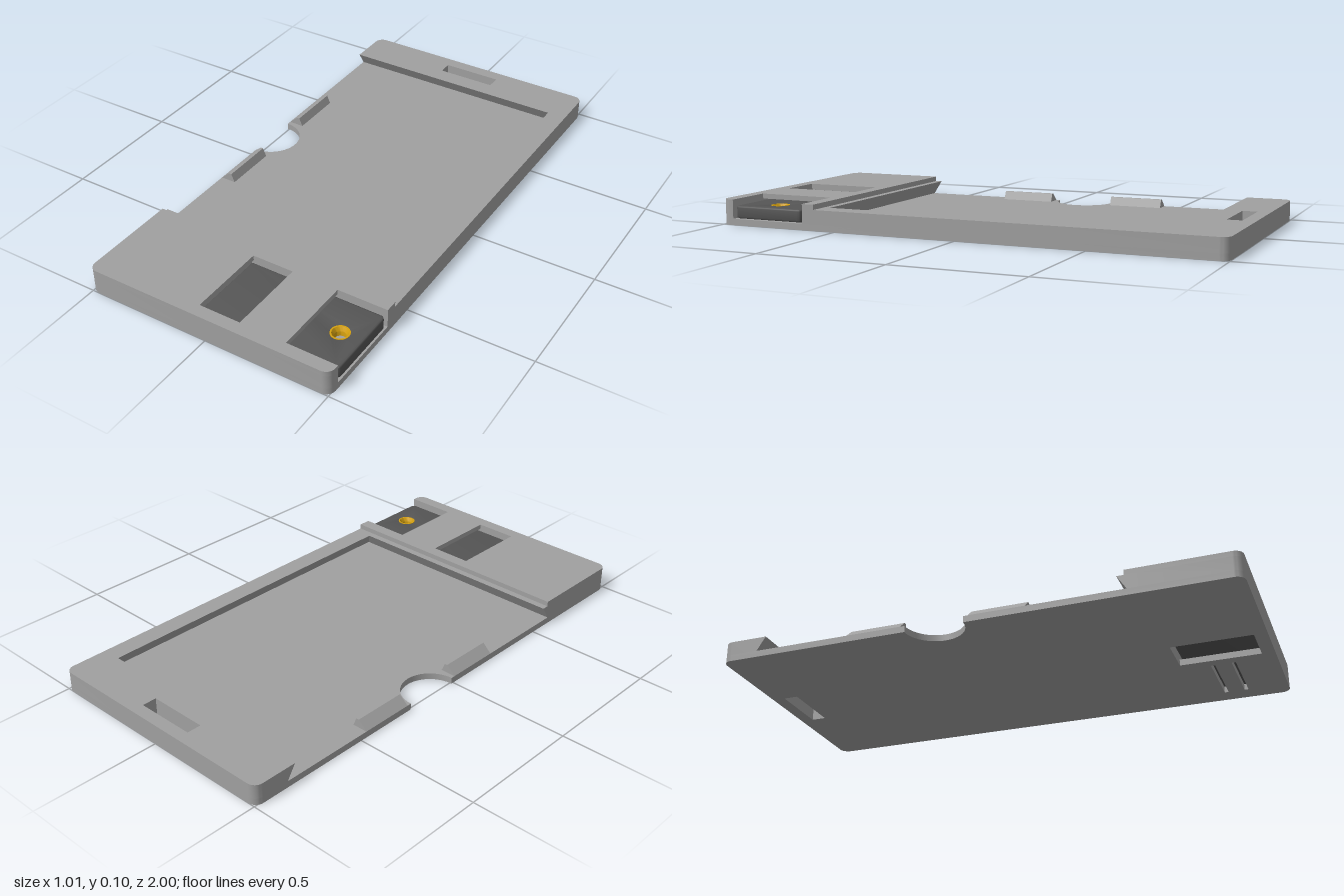
import * as THREE from 'three';
import { toCreasedNormals } from 'three/addons/utils/BufferGeometryUtils.js';

const W = 0.507, R = 0.035;        // half width, corner radius
const FLOOR = 0.025, RIM = 0.08, TOP = 0.1;
const TUN0 = 0.636, TUN1 = 0.95;   // latch channel in z

function material(name, color) {
  const m = new THREE.MeshStandardMaterial({ color });
  m.name = name;
  return m;
}

// closed path of [x, z] points
const poly = (pts, Type = THREE.Shape) => new Type(pts.map(([x, z]) => new THREE.Vector2(x, z)));
const rect = (x0, x1, z0, z1) => poly([[x0, z0], [x1, z0], [x1, z1], [x0, z1]], THREE.Path);

// points of a quarter-round corner
function corner(cx, cz, from, r = R) {
  return Array.from({ length: 9 }, (_, i) => {
    const a = from + (i / 8) * Math.PI / 2;
    return [cx + r * Math.cos(a), cz + r * Math.sin(a)];
  });
}
const H = Math.PI / 2;
const backRight = corner(W - R, -1 + R, 3 * H);
const frontRight = corner(W - R, 1 - R, 0);
const frontLeft = corner(-W + R, 1 - R, H);
const backLeft = corner(-W + R, -1 + R, 2 * H);

// plan shape in x/z raised from y0 to y1
function slab(shape, y0, y1, options = {}) {
  const g = new THREE.ExtrudeGeometry(shape, { depth: y1 - y0, bevelEnabled: false, curveSegments: 24, ...options });
  return g.rotateX(H).translate(0, y1, 0);
}

export function createModel() {
  const group = new THREE.Group();
  const grey = material('bodyGrey', 0xa0a0a0);
  const dark = material('latchDarkGrey', 0x555555);
  const brass = material('brass', 0xd4a010);

  const add = (name, geometry, mat, crease = 0.5) => {
    const mesh = new THREE.Mesh(toCreasedNormals(geometry, crease), mat);
    mesh.name = name;
    group.add(mesh);
    return mesh;
  };
  const strapSlot = () => rect(-0.12, 0.12, -0.95, -0.893);
  const window_ = () => rect(-0.052, 0.117, TUN0, TUN1);

  // floor plate with thumb notch, strap slot, latch window and two slits
  const notch = Array.from({ length: 33 }, (_, i) => {
    const a = H - (i / 32) * Math.PI;
    return [-W + 0.115 * Math.cos(a), -0.125 + 0.115 * Math.sin(a)];
  });
  const base = poly([...backRight, ...frontRight, ...frontLeft, ...notch, ...backLeft]);
  base.holes.push(strapSlot(), window_());
  for (const z of [0.755, 0.835]) base.holes.push(rect(0.16, 0.43, z - 0.008, z + 0.008));
  add('floorPlate', slab(base, 0, FLOOR), grey);

  // rim around the card pocket; its inner walls lean outward toward the floor
  const rim = poly([
    ...backRight, [W, TUN0], [-W, TUN0], [-W, 0.56], [0.43, 0.56],
    [0.43, -0.82], [-W, -0.82], ...backLeft,
  ]);
  rim.holes.push(strapSlot());
  const rimGeo = slab(rim, FLOOR, RIM);
  const p = rimGeo.attributes.position;
  const near = (a, b) => Math.abs(a - b) < 1e-4;
  for (let i = 0; i < p.count; i++) {
    if (p.getY(i) > FLOOR + 0.01) continue;
    const x = p.getX(i), z = p.getZ(i);
    if (near(x, 0.43)) p.setX(i, x + 0.035);
    if (near(z, -0.82)) p.setZ(i, z - 0.035);
    if (near(z, 0.56)) p.setZ(i, z + 0.035);
  }
  add('pocketRim', rimGeo, grey);

  // walls of the latch channel
  add('latchHousing', slab(poly([
    [-W, TUN0], [-0.06, TUN0], [-0.06, TUN1], [W, TUN1], ...frontRight, ...frontLeft,
  ]), FLOOR, RIM), grey);

  // raised lid with a window and an open notch for the thumb
  const lid = poly([
    [-W, 0.587], [W, 0.587], [W, TUN0], [0.305, TUN0], [0.305, TUN1], [W, TUN1],
    ...frontRight, ...frontLeft,
  ]);
  lid.holes.push(window_());
  add('latchLid', slab(lid, RIM, TOP), grey);

  // sliding latch with softened edges and a round hole
  const latch = poly([
    [-0.054, 0.643], ...corner(0.485, 0.661, 3 * H, 0.018),
    ...corner(0.485, 0.924, 0, 0.018), [-0.054, 0.942],
  ]);
  const hole = new THREE.Path();
  hole.absarc(0.415, 0.793, 0.03, 0, Math.PI * 2, true);
  latch.holes.push(hole);
  add('slidingLatch', slab(latch, 0.034, 0.069, {
    bevelEnabled: true, bevelSize: 0.007, bevelThickness: 0.007, bevelOffset: -0.007, bevelSegments: 3,
  }), dark, 0.7);

  // brass insert and the pin inside it
  const profile = [[0.036, 0.03], [0.036, 0.077], [0.03, 0.077], [0.022, 0.062], [0.022, 0.03]];
  const insert = new THREE.LatheGeometry(profile.map(([r, y]) => new THREE.Vector2(r, y)), 32);
  add('brassInsert', insert, brass).position.set(0.415, 0, 0.793);
  add('insertPin', new THREE.CylinderGeometry(0.022, 0.022, 0.012, 32), grey).position.set(0.415, 0.036, 0.793);

  // wedge clips that hold the card at the open side
  for (const [name, z0] of [['backClip', -0.475], ['frontClip', 0.007]]) {
    const wedge = poly([[-W, FLOOR], [-0.445, FLOOR], [-0.459, 0.058], [-0.47, 0.058]]);
    const g = new THREE.ExtrudeGeometry(wedge, { depth: 0.217, bevelEnabled: false });
    add(name, g.translate(0, 0, z0), grey, 0.2);
  }
  return group;
}
